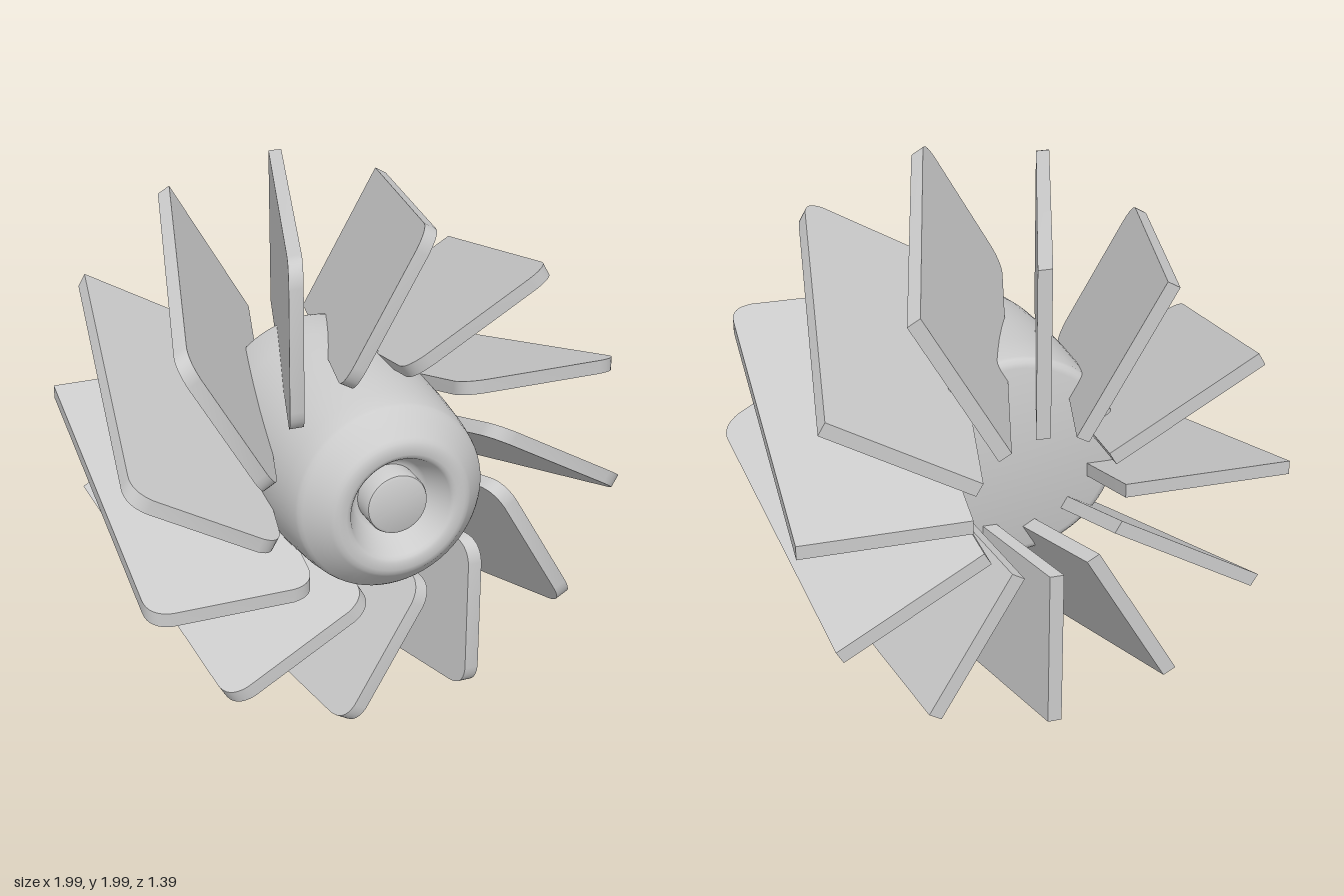
import * as THREE from 'three';
import { toCreasedNormals } from 'three/addons/utils/BufferGeometryUtils.js';

const BLADES = 12;
const FRONT = 0.58, BACK = -0.69;       // blade ends along z
const INNER = 0.29, OUTER = 0.94;       // blade reach from the axis
const THICK = 0.055, CORNER = 0.09;

// Flat plate with rounded front corners, slanted along its length
function bladeGeometry() {
  const s = new THREE.Shape();
  s.moveTo(-BACK, INNER);
  s.lineTo(-BACK, OUTER);
  s.lineTo(-FRONT + CORNER, OUTER);
  s.quadraticCurveTo(-FRONT + 0.01, OUTER, -FRONT, OUTER - CORNER);
  s.lineTo(-FRONT, INNER + CORNER);
  s.quadraticCurveTo(-FRONT + 0.01, INNER, -FRONT + CORNER, INNER);
  s.closePath();
  const g = new THREE.ExtrudeGeometry(s, { depth: THICK, bevelEnabled: false, curveSegments: 8 });
  g.translate(0, 0, -THICK / 2);
  g.rotateY(Math.PI / 2);
  const p = g.attributes.position;
  for (let i = 0; i < p.count; i++) {
    const t = (FRONT - p.getZ(i)) / (FRONT - BACK);
    p.setX(i, p.getX(i) - 0.362 + 0.392 * t);
  }
  return toCreasedNormals(g, 0.5);
}

// Turned part: [radius, z] pairs, listed from back to front
function turned(points, material, name) {
  const g = new THREE.LatheGeometry(points.map(([r, z]) => new THREE.Vector2(r, z)), 64);
  g.rotateX(Math.PI / 2);
  const mesh = new THREE.Mesh(toCreasedNormals(g, 0.6), material);
  mesh.name = name;
  return mesh;
}

export function createModel() {
  const model = new THREE.Group();
  model.name = 'fanRotor';
  const material = new THREE.MeshStandardMaterial({ color: 0xcccccc });

  // Hub: closed back, slightly flared body, chamfered nose, conical recess
  const hub = new THREE.Group();
  hub.name = 'hub';
  hub.position.y = 0.985;
  hub.add(turned([
    [0, -0.255], [0.385, -0.255], [0.403, -0.25], [0.415, -0.237], [0.419, -0.22],
    [0.417, -0.05], [0.412, 0.15], [0.4, 0.35], [0.385, 0.5], [0.372, 0.575],
    [0.367, 0.59], [0.355, 0.606], [0.28, 0.684], [0.268, 0.694], [0.25, 0.7],
    [0.22, 0.7], [0.207, 0.695], [0.198, 0.685], [0.15, 0.58], [0.14, 0.568], [0.125, 0.56], [0, 0.56],
  ], material, 'hubBody'));

  // Shaft end inside the recess
  hub.add(turned([
    [0.12, 0.53], [0.12, 0.645], [0.116, 0.655], [0.105, 0.66], [0, 0.66],
  ], material, 'shaftEnd'));
  model.add(hub);

  // Ring of slanted blades
  const blades = new THREE.Group();
  blades.name = 'blades';
  blades.position.y = 1.003;
  const geometry = bladeGeometry();
  for (let i = 0; i < BLADES; i++) {
    const blade = new THREE.Mesh(geometry, material);
    blade.name = 'blade' + (i + 1);
    blade.rotation.z = (i * 2 * Math.PI) / BLADES;
    blades.add(blade);
  }
  model.add(blades);
  return model;
}
